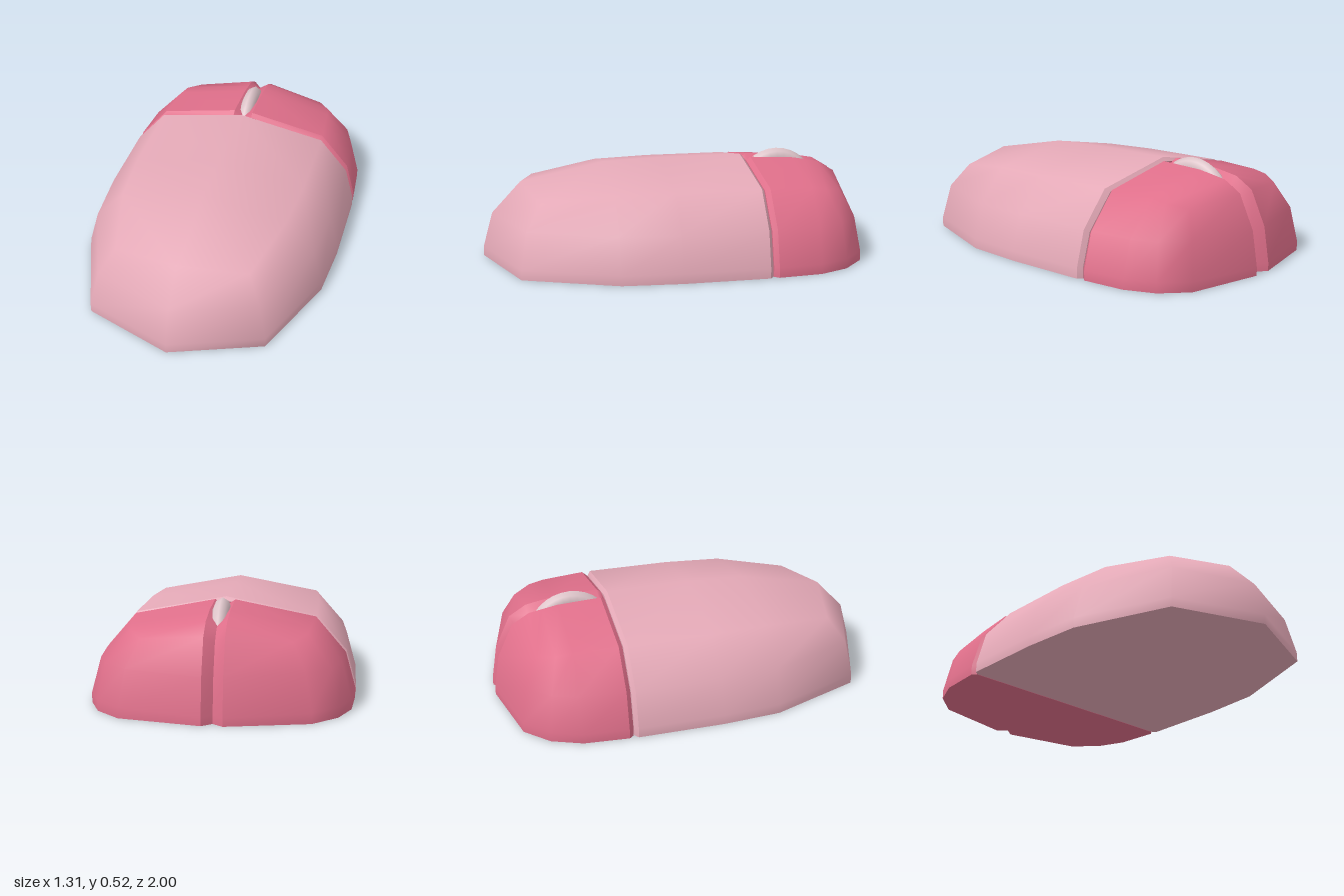
import * as THREE from 'three';
import { mergeVertices, mergeGeometries } from 'three/addons/utils/BufferGeometryUtils.js';

// Grid of points to a smooth surface; each patch is a list of rows.
function surface(...patches) {
  const pos = [];
  for (const rows of patches) {
    for (let i = 0; i < rows.length - 1; i++) {
      for (let j = 0; j < rows[i].length - 1; j++) {
        const a = rows[i][j], b = rows[i][j + 1], c = rows[i + 1][j], d = rows[i + 1][j + 1];
        pos.push(...a, ...b, ...c, ...b, ...d, ...c);
      }
    }
  }
  const g = new THREE.BufferGeometry();
  g.setAttribute('position', new THREE.Float32BufferAttribute(pos, 3));
  const m = mergeVertices(g, 1e-4);
  m.computeVertexNormals();
  return m.toNonIndexed();
}

const mirror = rows => rows.map(r => r.map(([x, y, z]) => [-x, y, z]).reverse());
const toCentre = row => row.map(([, y, z]) => [0, y, z]);
// Straight cross-section, listed from the base up to the ridge
const section = (z, w, shoulderY, ridgeY, ridgeX = 0, lift = 0.23) => [
  [w, 0, z], [w, 0.05, z], [w - 0.05, lift, z], [w - 0.2, shoulderY, z], [ridgeX, ridgeY, z],
];

export function createModel() {
  const model = new THREE.Group();
  const shellPink = new THREE.MeshStandardMaterial({ color: 0xe4a9b7 });
  const buttonRose = new THREE.MeshStandardMaterial({ color: 0xdf6f8a });
  const wheelGrey = new THREE.MeshStandardMaterial({ color: 0xdfc6cb });
  const add = (name, geometry, material) => {
    const mesh = new THREE.Mesh(geometry, material);
    mesh.name = name;
    model.add(mesh);
    return mesh;
  };

  // Palm shell: sections that fan around to the pointed heel
  const heelTop = [0, 0.39, 0.8];
  const palm = [
    section(-0.38, 0.653, 0.405, 0.49),
    section(0.06, 0.653, 0.405, 0.49),
    section(0.36, 0.63, 0.4, 0.48),
    [[0.45, 0, 0.83], [0.45, 0.05, 0.83], [0.41, 0.23, 0.8], [0.34, 0.35, 0.72], heelTop],
    [[0, 0, 1], [0, 0.05, 1], [0, 0.23, 0.95], heelTop, heelTop],
  ];
  const palmLip = section(-0.398, 0.63, 0.39, 0.472, 0, 0.22);
  const palmBase = [palmLip, ...palm].map(r => r[0]);
  const palmParts = [
    palm,
    [palmLip, palm[0]],
    [toCentre(palmLip), palmLip],
    [palmBase, toCentre(palmBase)],
  ];
  add('palmShell', mergeGeometries(palmParts.map(p => surface(p, mirror(p)))), shellPink);

  // Click buttons: half shells with bevels along the two grooves
  const noseTop = [0.05, 0.445, -0.8];
  const button = [
    [[0.05, 0, -1], [0.05, 0.04, -1], [0.05, 0.22, -0.97], [0.05, 0.39, -0.89], noseTop],
    [[0.45, 0, -0.915], [0.45, 0.05, -0.915], [0.42, 0.23, -0.885], [0.36, 0.36, -0.82], noseTop],
    [[0.57, 0, -0.8], [0.57, 0.05, -0.8], [0.535, 0.23, -0.78], [0.42, 0.382, -0.73], [0.05, 0.458, -0.73]],
    section(-0.65, 0.632, 0.395, 0.472, 0.05),
    section(-0.425, 0.65, 0.405, 0.483, 0.05),
  ];
  const buttonLip = section(-0.402, 0.63, 0.39, 0.465, 0.05, 0.22);
  // Rim beside the centre groove, and the bottom of the groove
  const rim = [...button[0], button[2][4], button[3][4], button[4][4], buttonLip[4]];
  const grooveBed = rim.map(([, y, z], i) =>
    [0, i < 2 ? y : y - (i < 3 ? 0.01 : 0.035), z + (i < 3 ? 0.04 : i === 3 ? 0.025 : 0)]);
  const backEdge = [...buttonLip, grooveBed[grooveBed.length - 1]];
  const baseEdge = [...button, buttonLip].map(r => r[0]);
  const baseCentre = baseEdge.map(([, y, z]) => [0, y, Math.max(z, -0.96)]);
  const buttonParts = [
    button,
    [button[4], buttonLip],
    [grooveBed, rim],
    [backEdge, toCentre(backEdge)],
    [baseEdge, baseCentre],
  ];
  add('leftButton', mergeGeometries(buttonParts.map(p => surface(p))), buttonRose);
  add('rightButton', mergeGeometries(buttonParts.map(p => surface(mirror(p)))), buttonRose);

  // Scroll wheel: rounded disc turning about the x axis
  const wheelProfile = [[0, -0.04], [0.175, -0.04], [0.205, -0.027], [0.22, 0],
    [0.205, 0.027], [0.175, 0.04], [0, 0.04]].map(([r, y]) => new THREE.Vector2(r, y));
  const wheel = add('scrollWheel', new THREE.LatheGeometry(wheelProfile, 32), wheelGrey);
  wheel.rotation.z = Math.PI / 2;
  wheel.position.set(0, 0.296, -0.58);

  return model;
}
